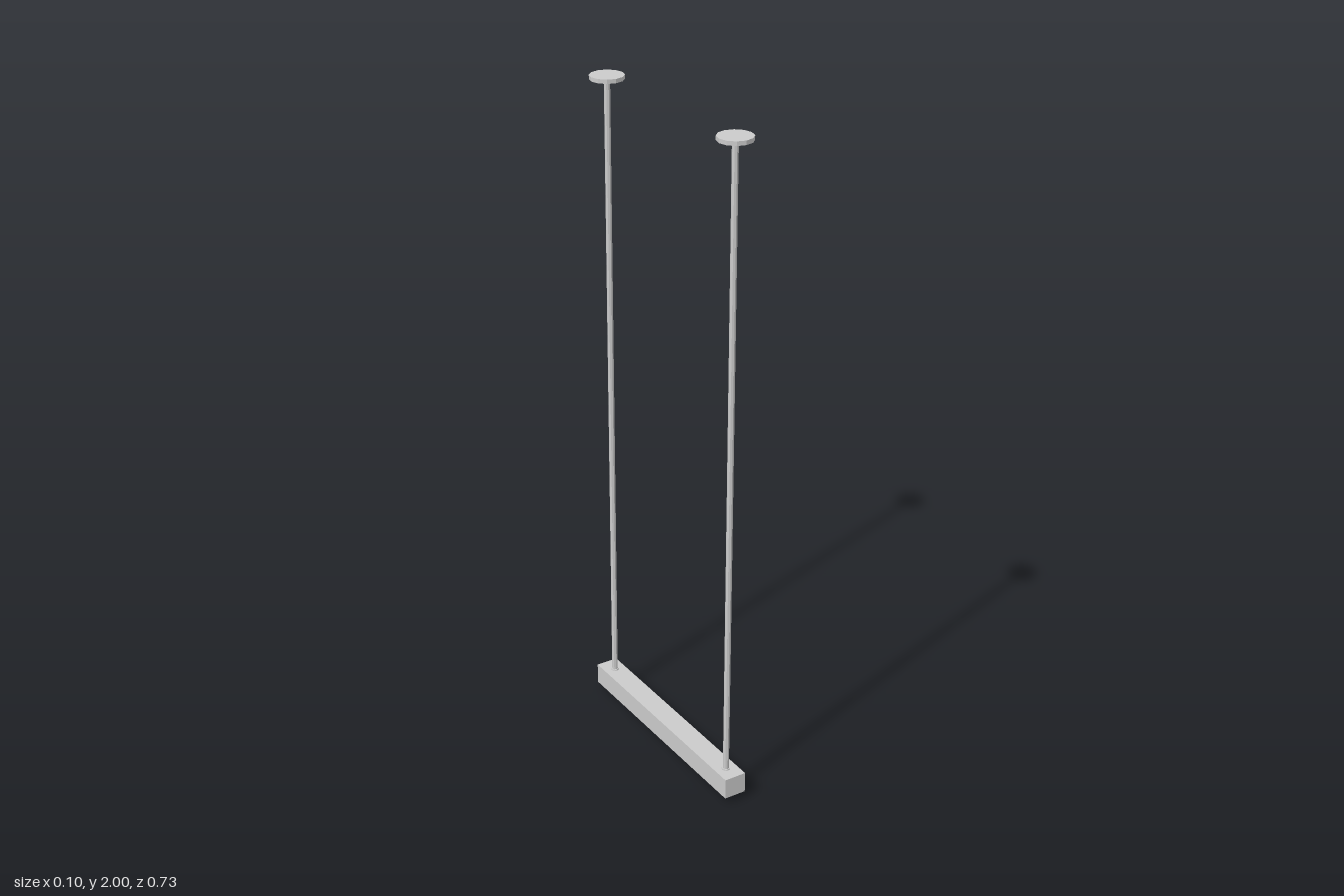
import * as THREE from 'three';

export function createModel() {
  const model = new THREE.Group();
  const material = new THREE.MeshStandardMaterial({ color: 0xcccccc, flatShading: true });

  const add = (name, geometry, y0, y1, z) => {
    const mesh = new THREE.Mesh(geometry, material);
    mesh.name = name;
    mesh.position.set(0, (y0 + y1) / 2, z);
    model.add(mesh);
  };
  const cylinder = (name, radius, y0, y1, z, sides = 12) =>
    add(name, new THREE.CylinderGeometry(radius, radius, y1 - y0, sides), y0, y1, z);

  // Horizontal bar
  add('bar', new THREE.BoxGeometry(0.068, 0.064, 0.73), 0.021, 0.085, 0);

  // Hanging rod, ceiling plate and end fitting at each end
  for (const [side, z] of [['front', 0.3155], ['back', -0.3155]]) {
    cylinder(side + 'Rod', 0.009, 0.01, 1.99, z, 8);
    cylinder(side + 'CeilingPlate', 0.0495, 1.988, 2, z);
    cylinder(side + 'EndFitting', 0.0125, 0, 0.088, z);
  }
  return model;
}
